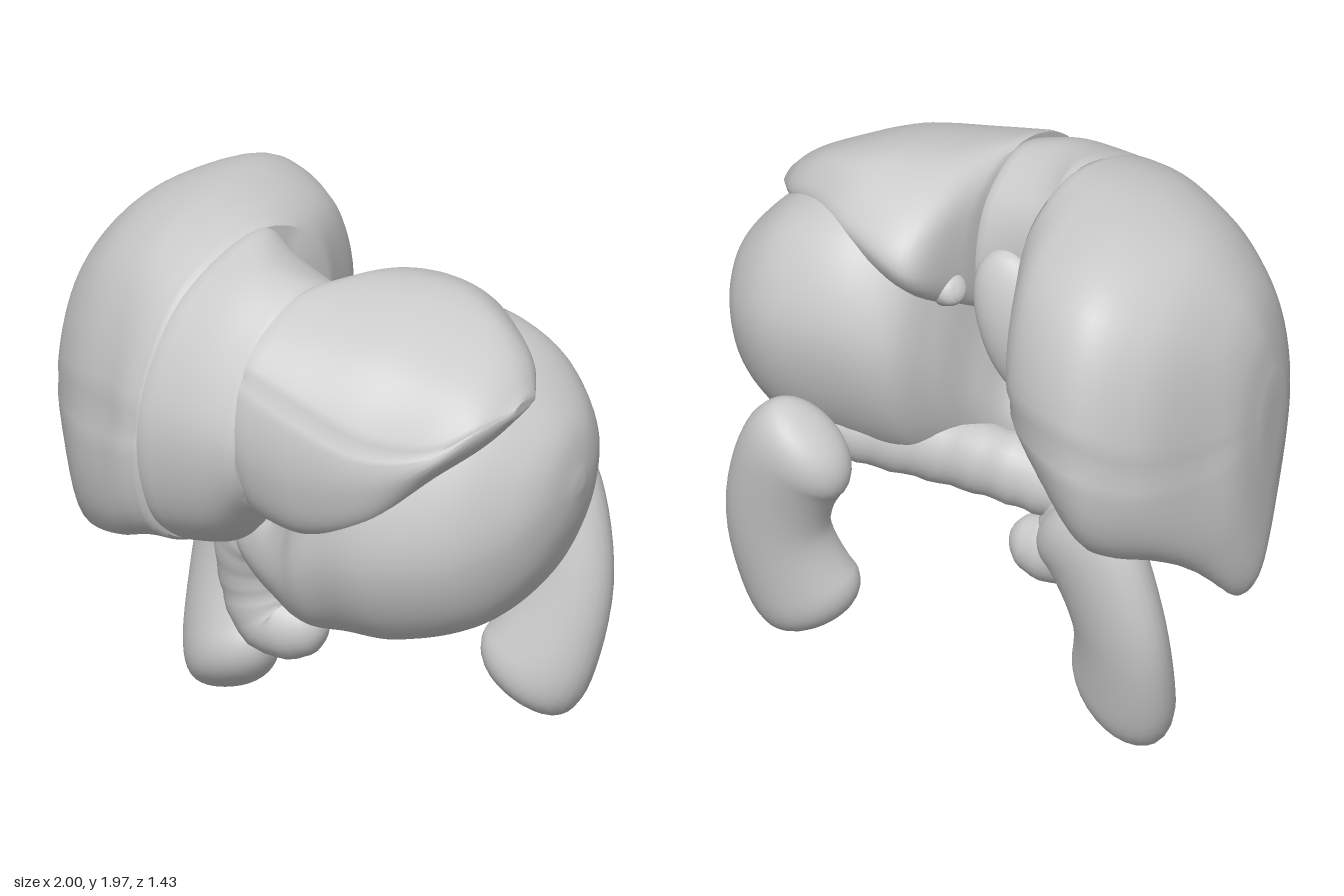
import * as THREE from 'three';
import { toCreasedNormals } from 'three/addons/utils/BufferGeometryUtils.js';

const V = (x, y, z) => new THREE.Vector3(x, y, z);
const material = new THREE.MeshStandardMaterial({ color: 0xcccccc, side: THREE.DoubleSide });

// Skins a list of closed rings (equal point counts) and closes both ends.
function skin(name, rings) {
  const n = rings[0].length;
  const centre = r => r.reduce((s, p) => s.add(p), V(0, 0, 0)).divideScalar(n);
  const shrink = (r, k) => { const c = centre(r); return r.map(p => p.clone().lerp(c, k)); };
  const first = rings[0], last = rings[rings.length - 1];
  const all = [shrink(first, 1), shrink(first, 0.5), ...rings, shrink(last, 0.5), shrink(last, 1)];
  const index = [];
  for (let j = 0; j < all.length - 1; j++) {
    for (let i = 0; i < n; i++) {
      const a = j * n + i, b = j * n + (i + 1) % n;
      if (j === 0) index.push(b, b + n, a + n);
      else if (j === all.length - 2) index.push(a, b, a + n);
      else index.push(a, b, a + n, b, b + n, a + n);
    }
  }
  const g = new THREE.BufferGeometry().setFromPoints(all.flat());
  g.setIndex(index);
  const mesh = new THREE.Mesh(toCreasedNormals(g, 0.8), material);
  mesh.name = name;
  return mesh;
}

// Loft along x. Station: [x, slant, [z, y] points from top over the front to the back].
// Grooves are ring indices pressed inward as seams between lobe segments.
function loft(name, stations, grooves = [], around = 64, steps = 8) {
  const rings = stations.map(([x, s, pts]) => {
    const curve = new THREE.CatmullRomCurve3(pts.map(([z, y]) => V(x + s * (0.66 - z), y, z)), true);
    return Array.from({ length: around }, (_, i) => curve.getPoint(i / around));
  });
  const lines = rings[0].map((_, i) => new THREE.CatmullRomCurve3(rings.map(r => r[i])));
  const rows = (stations.length - 1) * steps;
  const out = [];
  for (let j = 0; j <= rows; j++) {
    const ring = lines.map(l => l.getPoint(j / rows));
    const c = ring.reduce((s, p) => s.add(p), V(0, 0, 0)).divideScalar(around);
    const seam = j === 0 || j === rows ? 0.02 : 0;
    out.push(ring.map((p, i) => p.lerp(c, seam + (grooves.includes(i) ? 0.025 : 0))));
  }
  return skin(name, out);
}

// Rounded elliptical tube along a path; width in the xy plane, depth towards z.
// Bulge swells both ends, waviness adds soft ripples.
function organ(name, points, width, depth, { power = 3, bulge = 0, waviness = 0 } = {}) {
  const curve = new THREE.CatmullRomCurve3(points.map(p => V(...p)));
  const rows = 36, around = 28, rings = [];
  for (let j = 0; j <= rows; j++) {
    const u = -Math.cos(Math.PI * j / rows), t = (u + 1) / 2;
    const k = Math.sqrt(Math.max(0.0004, 1 - Math.abs(u) ** power))
      * (1 + bulge * u * u) * (1 + waviness * Math.sin(j * 1.9));
    const c = curve.getPoint(t), T = curve.getTangent(t);
    const N = V(0, 0, 1).cross(T).normalize(), B = T.clone().cross(N);
    rings.push(Array.from({ length: around }, (_, i) => {
      const a = i / around * Math.PI * 2;
      return c.clone().addScaledVector(N, Math.cos(a) * width * k).addScaledVector(B, Math.sin(a) * depth * k);
    }));
  }
  return skin(name, rings);
}

// Kidney: a bean bent away from the spine; side is +1 for left and -1 for right.
function kidney(name, side, width, position, yaw) {
  const bean = [[-0.14, 0.41, -0.08], [-0.02, 0.27, -0.05], [0.06, 0, 0], [0.01, -0.26, 0.06], [-0.08, -0.42, 0.1]];
  const mesh = organ(name, bean.map(([x, y, z]) => [side * x, y, z]), width, 0.13, { power: 4, bulge: 0.5 });
  mesh.position.set(...position);
  mesh.rotation.y = yaw;
  return mesh;
}

export function createModel() {
  const model = new THREE.Group();
  model.name = 'abdominalOrgans';

  // Liver: three lobes divided by slanted seams
  const liver = new THREE.Group();
  liver.name = 'liver';
  liver.add(
    loft('liverRightLobe', [
      [-0.995, 0, [[0, 1.4], [0.06, 1.35], [0.09, 1.25], [0.05, 1.1], [-0.03, 1.0], [-0.1, 1.1], [-0.12, 1.25], [-0.08, 1.35]]],
      [-0.965, 0, [[-0.05, 1.57], [0.1, 1.47], [0.18, 1.26], [0.08, 0.9], [-0.1, 0.63], [-0.23, 0.9], [-0.26, 1.25], [-0.19, 1.48]]],
      [-0.9, 0, [[-0.08, 1.71], [0.18, 1.6], [0.3, 1.27], [0.16, 0.83], [-0.1, 0.56], [-0.32, 0.85], [-0.38, 1.23], [-0.31, 1.58]]],
      [-0.75, 0, [[-0.1, 1.87], [0.27, 1.74], [0.46, 1.3], [0.38, 0.84], [0, 0.68], [-0.48, 0.88], [-0.61, 1.25], [-0.49, 1.73]]],
      [-0.55, 0, [[-0.1, 1.95], [0.36, 1.82], [0.59, 1.33], [0.53, 0.9], [0.1, 0.79], [-0.56, 0.9], [-0.715, 1.33], [-0.57, 1.83]]],
      [-0.45, 0.15, [[0, 1.96], [0.43, 1.82], [0.65, 1.35], [0.58, 0.95], [0.25, 0.86], [-0.28, 1.0], [-0.56, 1.37], [-0.45, 1.8]]],
      [-0.358, 0.28, [[0.1, 1.94], [0.48, 1.8], [0.675, 1.37], [0.6, 0.98], [0.35, 0.87], [0.05, 1.08], [-0.17, 1.42], [-0.14, 1.8]]],
    ], [16, 48]),
    loft('liverMiddleLobe', [
      [-0.36, 0.28, [[0.1, 1.94], [0.48, 1.8], [0.68, 1.4], [0.6, 1.0], [0.35, 0.87], [0.1, 1.1], [0, 1.45], [0, 1.8]]],
      [-0.15, 0.2, [[0.3, 1.9], [0.5, 1.8], [0.7, 1.42], [0.62, 1.05], [0.4, 0.93], [0.15, 1.15], [0.02, 1.45], [0.05, 1.78]]],
      [0.038, 0.14, [[0.3, 1.86], [0.52, 1.75], [0.7, 1.42], [0.66, 1.22], [0.5, 1.13], [0.2, 1.25], [0.03, 1.45], [0.08, 1.74]]],
    ]),
    loft('liverLeftLobe', [
      [0.04, 0.14, [[0.3, 1.86], [0.54, 1.79], [0.67, 1.66], [0.7, 1.36], [0.58, 1.12], [0.2, 1.25], [0, 1.5], [0.05, 1.74]]],
      [0.25, 0, [[0.1, 1.87], [0.5, 1.78], [0.68, 1.58], [0.7, 1.3], [0.6, 1.1], [0.1, 1.3], [-0.27, 1.6], [-0.2, 1.74]]],
      [0.5, 0, [[0.05, 1.86], [0.48, 1.74], [0.66, 1.49], [0.67, 1.33], [0.6, 1.2], [0.1, 1.35], [-0.2, 1.68], [-0.14, 1.77]]],
      [0.7, 0, [[0.1, 1.79], [0.42, 1.67], [0.56, 1.48], [0.57, 1.43], [0.5, 1.38], [0.2, 1.4], [-0.05, 1.68], [0, 1.75]]],
      [0.82, 0, [[0.17, 1.7], [0.35, 1.64], [0.46, 1.55], [0.46, 1.52], [0.4, 1.48], [0.2, 1.5], [0.05, 1.63], [0.08, 1.68]]],
      [0.895, 0, [[0.22, 1.61], [0.27, 1.605], [0.31, 1.59], [0.31, 1.575], [0.28, 1.565], [0.22, 1.57], [0.17, 1.59], [0.18, 1.6]]],
    ], [16]),
    organ('liverRearLobe', [[0.02, 1.62, 0.02], [-0.03, 1.36, -0.01], [-0.12, 1.05, 0.04]], 0.13, 0.075),
  );

  // Stomach: tilted ellipses [x, y, z, long radius, short radius]
  const stomach = loft('stomach', [
    [-0.21, 0.89, 0.25, 0.04, 0.04], [-0.17, 0.89, 0.25, 0.1, 0.1], [-0.08, 0.88, 0.27, 0.15, 0.15],
    [0.03, 0.88, 0.3, 0.19, 0.2], [0.12, 0.96, 0.28, 0.31, 0.26], [0.2, 1.08, 0.22, 0.46, 0.35],
    [0.3, 1.16, 0.16, 0.55, 0.43], [0.5, 1.21, 0.14, 0.59, 0.46], [0.75, 1.21, 0.1, 0.5, 0.4],
    [0.9, 1.22, 0.07, 0.34, 0.28], [0.97, 1.25, 0.06, 0.19, 0.16], [1, 1.25, 0.05, 0.03, 0.03],
  ].map(([x, y, z, a, b]) => [x, 0, Array.from({ length: 8 }, (_, i) => {
    const c = a * Math.cos(i * Math.PI / 4), s = b * Math.sin(i * Math.PI / 4);
    return [z - 0.55 * c + 0.83 * s, y + 0.83 * c + 0.55 * s];
  })]));
  const esophagus = organ('esophagus', [[0.14, 1.5, -0.1], [0.22, 1.45, -0.04], [0.32, 1.4, 0.02]], 0.06, 0.06, { power: 6 });

  // Duodenum, pancreas and small vessels
  const duodenum = organ('duodenum',
    [[-0.12, 0.92, 0.2], [-0.23, 0.8, 0.13], [-0.245, 0.62, 0.08], [-0.19, 0.48, 0.07], [0.01, 0.47, 0.06]],
    0.135, 0.125, { power: 5, waviness: 0.02 });
  const pancreas = organ('pancreas',
    [[-0.28, 0.68, 0.08], [0, 0.73, 0.08], [0.28, 0.83, -0.04], [0.62, 0.93, -0.2]], 0.13, 0.11, { power: 6, waviness: 0.03 });
  const vessels = [0.72, 0.51].map(y =>
    organ('kidneyVessel', [[-0.47, y, -0.06], [-0.42, y, -0.01], [-0.33, y - 0.01, 0.05]], 0.012, 0.012, { power: 8 }));
  const bileDuct = organ('bileDuct', [[-0.1, 1.1, 0.08], [-0.14, 0.95, 0.12], [-0.18, 0.82, 0.14]], 0.04, 0.04, { power: 6 });

  model.add(liver, stomach, esophagus, duodenum, pancreas, bileDuct, ...vessels,
    kidney('kidneyLeft', 1, 0.185, [0.605, 0.645, -0.39], 0),
    kidney('kidneyRight', -1, 0.21, [-0.5, 0.48, -0.28], -0.5));
  return model;
}
